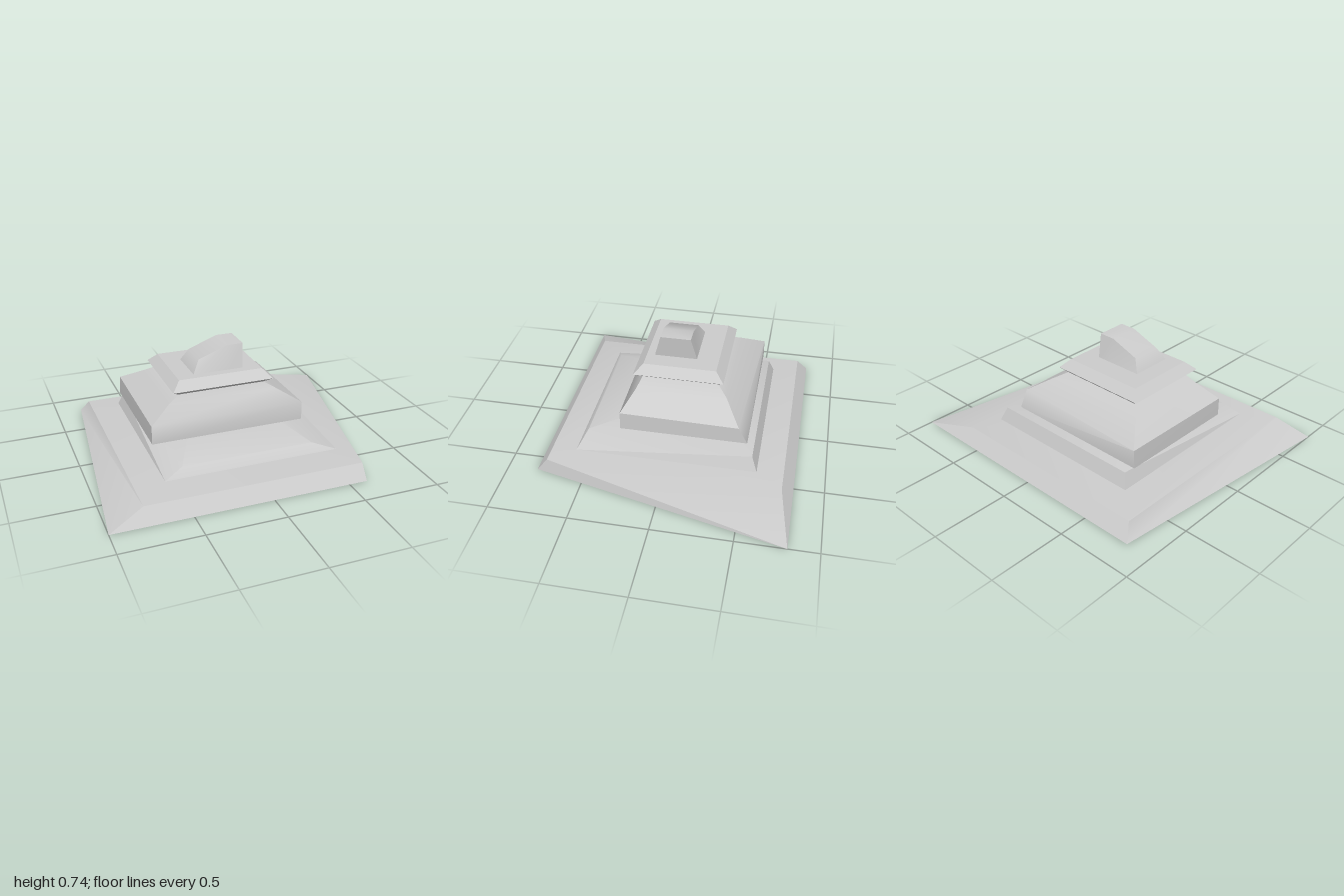
import * as THREE from 'three';
import { toCreasedNormals } from 'three/addons/utils/BufferGeometryUtils.js';

// Rectangular cross-section, ordered front-left, front-right, back-right, back-left
const rect = (y, x0, x1, zBack, zFront) => [
  [x0, y, zFront], [x1, y, zFront], [x1, y, zBack], [x0, y, zBack],
];

// Closed solid through a stack of cross-sections; flips(i) picks the other quad diagonal
function loft(name, rings, flips = () => false) {
  const out = [];
  const tri = (...pts) => pts.forEach((p) => out.push(...p));
  const n = rings[0].length;
  for (let k = 0; k < rings.length - 1; k++) {
    for (let i = 0; i < n; i++) {
      const j = (i + 1) % n;
      const a = rings[k][i], b = rings[k][j], c = rings[k + 1][j], d = rings[k + 1][i];
      if (flips(i)) { tri(a, b, d); tri(b, c, d); } else { tri(a, b, c); tri(a, c, d); }
    }
  }
  // End caps, as strips from the front edge to the back edge
  const bottom = rings[0], top = rings[rings.length - 1];
  for (let j = 0; j < n / 2 - 1; j++) {
    const q = [j, j + 1, n - 2 - j, n - 1 - j];
    const [a, b, c, d] = q.map((i) => top[i]);
    tri(a, b, c); tri(a, c, d);
    const [e, f, g, h] = q.map((i) => bottom[i]);
    tri(e, g, f); tri(e, h, g);
  }
  const geometry = new THREE.BufferGeometry();
  geometry.setAttribute('position', new THREE.Float32BufferAttribute(out, 3));
  const mesh = new THREE.Mesh(
    toCreasedNormals(geometry, 0.72),
    new THREE.MeshStandardMaterial({ color: 0xcccccc }),
  );
  mesh.name = name;
  return mesh;
}

export function createModel() {
  const group = new THREE.Group();
  group.name = 'steppedPyramid';

  // Skewed ground slab with a shallow sloping top
  group.add(loft('base', [
    [[-1, 0, 0.81], [0.62, 0, 0.81], [1, 0, -0.81], [-0.83, 0, -0.81]],
    rect(0.093, -0.78, 0.62, -0.74, 0.74),
    rect(0.122, -0.43, 0.27, -0.4, 0.4),
  ], (i) => i !== 3));

  // Lower tier, with twisted sides and a lower front
  group.add(loft('lowerTier', [
    rect(0.122, -0.6, 0.525, -0.575, 0.572),
    [[-0.48, 0.177, 0.53], [0.37, 0.177, 0.53], [0.49, 0.213, -0.54], [-0.565, 0.213, -0.54]],
    [[-0.36, 0.24, 0.27], [0.25, 0.24, 0.27], [0.32, 0.237, -0.4], [-0.42, 0.237, -0.4]],
  ], (i) => i === 3));

  // Middle tier, with one back corner pulled in
  group.add(loft('middleTier', [
    rect(0.236, -0.6, 0.4, -0.497, 0.312),
    [[-0.6, 0.356, 0.312], [0.4, 0.356, 0.312], [0.4, 0.345, -0.44], [-0.595, 0.356, -0.497]],
    rect(0.45, -0.465, 0.245, -0.34, 0.237),
    rect(0.495, -0.395, 0.17, -0.275, 0.213),
  ]));

  // Flared upper tier
  group.add(loft('upperTier', [
    rect(0.495, -0.395, 0.17, -0.275, 0.213),
    rect(0.53, -0.443, 0.215, -0.312, 0.265),
    rect(0.586, -0.387, 0.162, -0.258, 0.207),
  ]));

  // Cap block, sloping down on one side
  const capRing = (xs, ys, zBack, zFront) => [
    ...[0, 1, 2].map((i) => [xs[i], ys[i], zFront]),
    ...[2, 1, 0].map((i) => [xs[i], ys[i], zBack]),
  ];
  group.add(loft('cap', [
    capRing([-0.277, -0.04, 0.05], [0.584, 0.584, 0.584], -0.118, 0.156),
    capRing([-0.228, -0.04, 0.067], [0.665, 0.735, 0.735], -0.08, 0.115),
  ]));

  return group;
}
